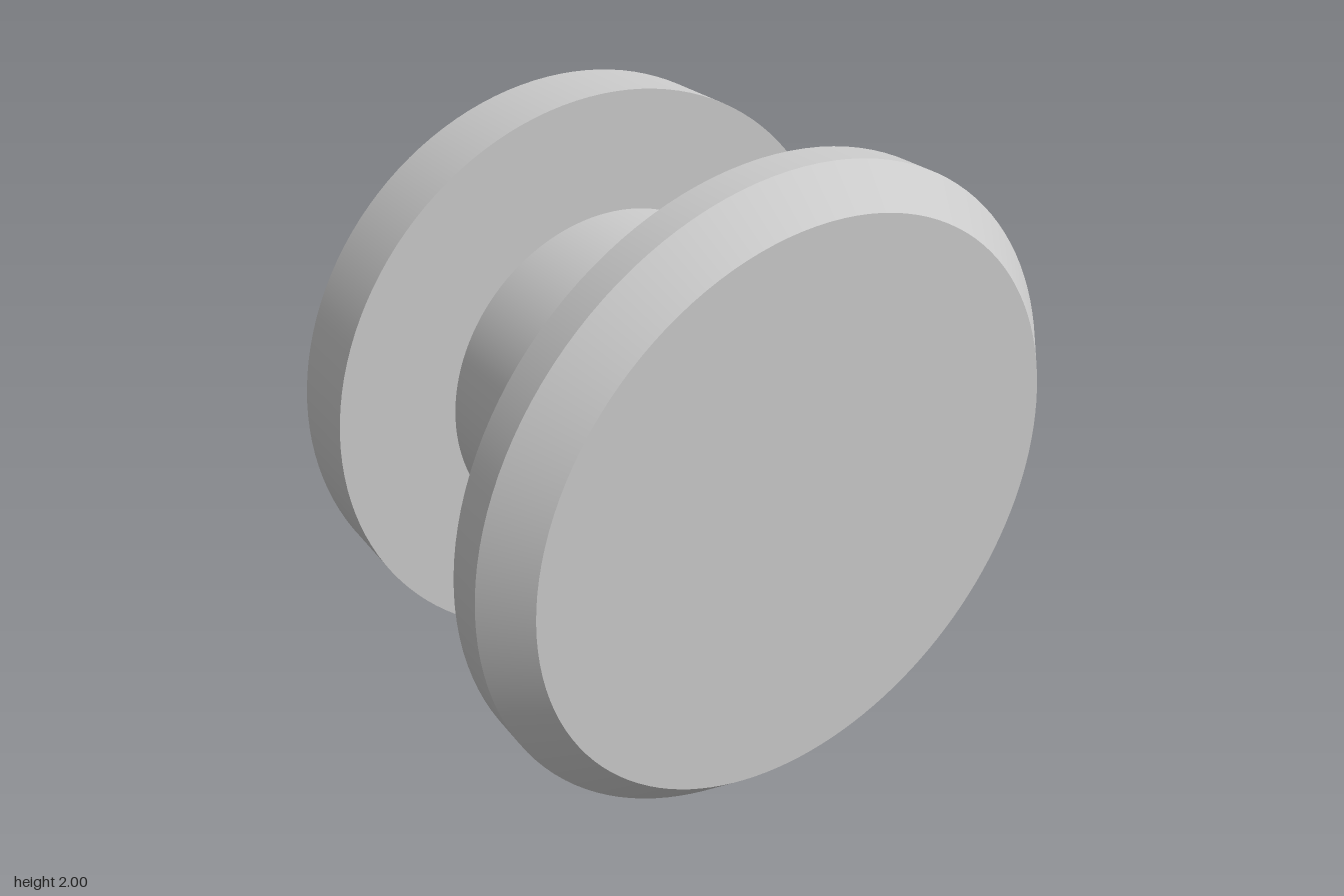
import * as THREE from 'three';
import { mergeGeometries } from 'three/addons/utils/BufferGeometryUtils.js';

const SEGMENTS = 128;
const material = new THREE.MeshStandardMaterial({ color: 0xcccccc });

// Revolves a [radius, z] profile around the z axis, keeping every profile corner sharp.
function turnedPart(name, profile) {
  const bands = [];
  for (let i = 0; i < profile.length - 1; i++) {
    const points = [profile[i], profile[i + 1]].map(([r, z]) => new THREE.Vector2(r, z));
    bands.push(new THREE.LatheGeometry(points, SEGMENTS));
  }
  const geometry = mergeGeometries(bands);
  geometry.rotateX(Math.PI / 2);
  const mesh = new THREE.Mesh(geometry, material);
  mesh.name = name;
  mesh.position.y = 1;
  return mesh;
}

export function createModel() {
  const hubRadius = 0.573;
  const backInner = -0.395;
  const frontInner = 0.418;

  const model = new THREE.Group();
  model.name = 'spool';
  model.add(
    // Plain disc at the back, open where the hub meets it
    turnedPart('backFlange', [[0, -0.64], [0.95, -0.64], [0.95, backInner], [hubRadius, backInner]]),
    // Cylindrical core
    turnedPart('hub', [[hubRadius, backInner], [hubRadius, frontInner]]),
    // Larger disc with a chamfered front rim
    turnedPart('frontFlange', [[hubRadius, frontInner], [1, frontInner], [1, 0.53], [0.89, 0.64], [0, 0.64]])
  );
  return model;
}
